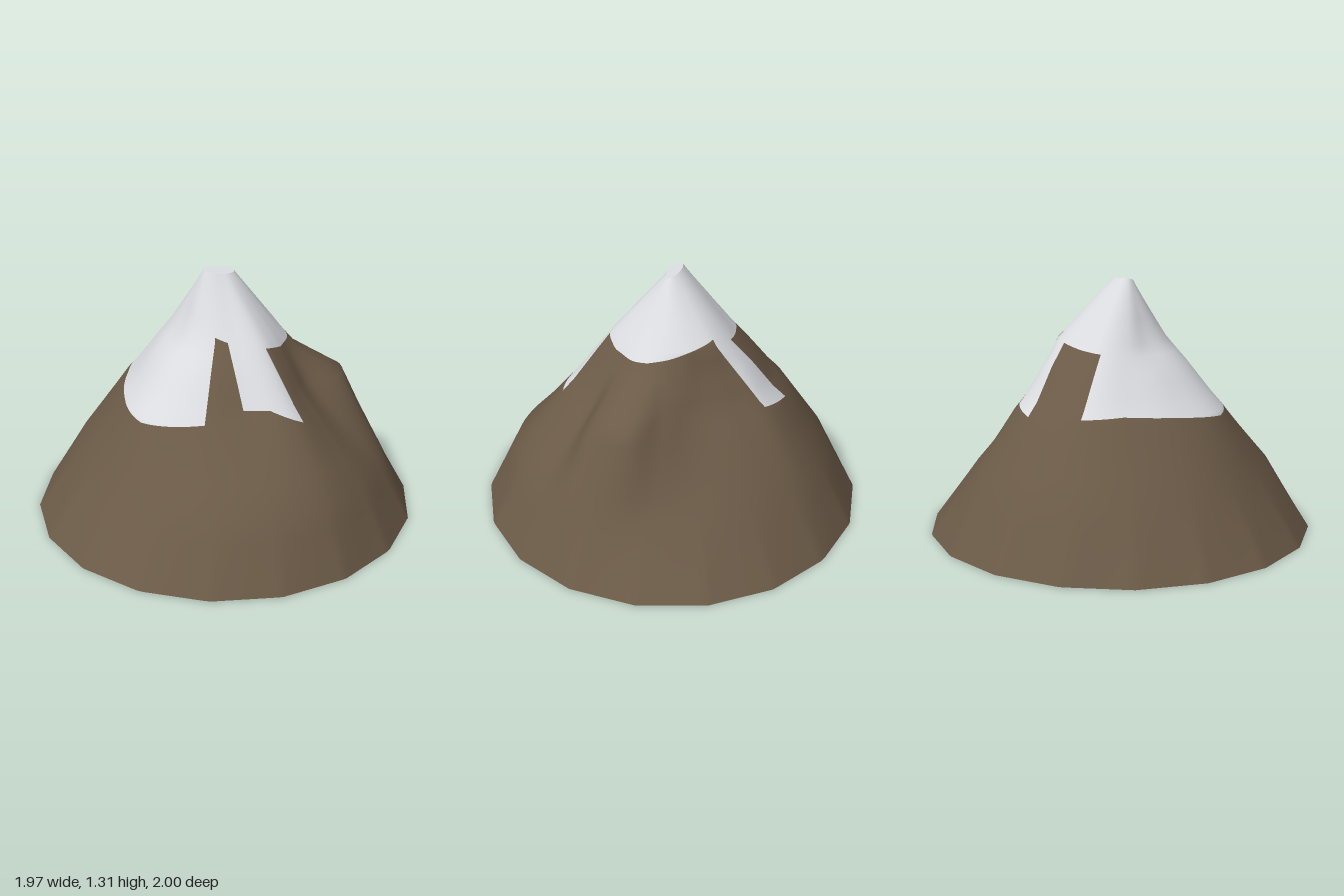
import * as THREE from 'three';
import { mergeVertices } from 'three/addons/utils/BufferGeometryUtils.js';

const HEIGHT = 1.293;
const SUMMIT_TILT = -0.25; // summit drops towards the front
const rad = THREE.MathUtils.degToRad;
const { lerp, clamp } = THREE.MathUtils;

// Slope profiles: compass angle (degrees from the front, towards +x), radius at each height
const HEIGHTS = [0.33, 0.66, 0.72, 0.88, 1.0];
const PROFILES = [
  [2, 0.83, 0.565, 0.51, 0.385, 0.29],
  [20, 0.815, 0.53, 0.475, 0.365, 0.28],
  [36, 0.805, 0.51, 0.46, 0.35, 0.27], // front gully
  [49, 0.83, 0.635, 0.57, 0.36, 0.27], // buttress
  [58, 0.82, 0.655, 0.62, 0.375, 0.27],
  [72, 0.78, 0.65, 0.62, 0.37, 0.275],
  [84, 0.75, 0.56, 0.50, 0.355, 0.285],
  [100, 0.74, 0.475, 0.425, 0.34, 0.295], // back gully
  [116, 0.75, 0.46, 0.415, 0.34, 0.305],
  [134, 0.765, 0.51, 0.46, 0.375, 0.32],
  [150, 0.80, 0.58, 0.525, 0.415, 0.318],
  [180, 0.82, 0.60, 0.535, 0.41, 0.30],
  [200, 0.82, 0.59, 0.535, 0.41, 0.31],
  [225, 0.79, 0.545, 0.49, 0.37, 0.28],
  [250, 0.77, 0.54, 0.485, 0.36, 0.24],
  [278, 0.765, 0.56, 0.50, 0.36, 0.24],
  [313, 0.79, 0.51, 0.46, 0.34, 0.24],
  [337, 0.81, 0.50, 0.445, 0.34, 0.25],
];

// Snow line: angle low down, angle high up, snow height before and after this angle
const SNOW = [
  [-47, -47, 0.67, 1.02],
  [-23, -32, 1.0, 0.72],
  [-8, -14, 0.72, 0.72],
  [7, 4, 0.65, 0.97],
  [28, 28, 0.94, 0.94],
  [50, 50, 0.935, 0.935],
  [68, 68, 0.945, 0.945],
  [90, 88, 0.97, 0.97],
  [112, 107, 1.0, 1.0],
  [149, 134, 1.03, 0.69],
  [167, 155, 0.66, 0.99],
  [180, 180, 0.97, 0.97],
  [197, 201, 0.96, 0.68],
  [218, 218, 0.69, 0.69],
  [248, 248, 0.67, 0.67],
  [278, 278, 0.64, 0.64],
  [313, 313, 0.67, 1.02],
];

// Row heights shared by rock and snow
const LEVELS = [0, 0.11, 0.22, 0.33, 0.44, 0.55, 0.66, 0.72, 0.77, 0.82, 0.88, 0.94, 1, 1.1, 1.2, HEIGHT];

function baseRadius(angle) {
  const a = ((angle % 20) + 20) % 20; // 18-sided foot
  return Math.cos(rad(10)) / Math.cos(rad(a - 10));
}

// Profile by index, wrapping round the mountain
function profile(i) {
  const n = PROFILES.length, turn = Math.floor(i / n);
  const [angle, ...radii] = PROFILES[i - turn * n];
  return { angle: angle + 360 * turn, radii };
}

// Smooth curve through neighbouring profiles
function radiusAt(angle, y) {
  const a = ((angle % 360) + 360) % 360;
  let i = -1;
  while (a > profile(i + 1).angle) i++;
  const [o, p, q, r] = [i - 1, i, i + 1, i + 2].map(profile);
  const w = q.angle - p.angle, t = (a - p.angle) / w;
  const rs = HEIGHTS.map((_, k) => {
    const m0 = w * (q.radii[k] - o.radii[k]) / (q.angle - o.angle);
    const m1 = w * (r.radii[k] - p.radii[k]) / (r.angle - p.angle);
    const d = q.radii[k] - p.radii[k];
    return p.radii[k] + t * (m0 + t * (3 * d - 2 * m0 - m1 + t * (m0 + m1 - 2 * d)));
  });
  const hs = [0, ...HEIGHTS];
  rs.unshift(baseRadius(angle));
  let k = 0;
  while (k < hs.length - 2 && y > hs[k + 1]) k++;
  return lerp(rs[k], rs[k + 1], clamp((y - hs[k]) / (hs[k + 1] - hs[k]), 0, 1));
}

// Small turned oval at the summit
function summitPoint(angle) {
  const a = rad(angle), turn = rad(20);
  const p = 0.08 * Math.sin(a + turn), q = 0.036 * Math.cos(a + turn);
  return [-0.026 + p * Math.cos(turn) - q * Math.sin(turn), -0.013 + p * Math.sin(turn) + q * Math.cos(turn)];
}

function surfacePoint(lo, hi, y) {
  const s = clamp((y - 0.66) / 0.34, 0, 1);
  const angle = lerp(lo, hi, s / (2 - s)); // keeps slanted snow edges straight
  const r = radiusAt(angle, Math.min(y, 1));
  const x = r * Math.sin(rad(angle)), z = r * Math.cos(rad(angle));
  if (y <= 1) return [x, y, z];
  const [tx, tz] = summitPoint(angle), t = (y - 1) / (HEIGHT - 1);
  return [lerp(x, tx, t), y + t * SUMMIT_TILT * tz, lerp(z, tz, t)];
}

// Slope surface whose rows are limited by the snow line
function slopeGeometry(limit) {
  const pos = [];
  for (let k = 0; k < SNOW.length - 1; k++) {
    const a = SNOW[k], b = SNOW[k + 1];
    const n = Math.ceil(Math.max(b[0] - a[0], b[1] - a[1]) / 2);
    const column = (i) => {
      const t = i / n, snow = lerp(a[3], b[2], t);
      return LEVELS.map((y) => surfacePoint(lerp(a[0], b[0], t), lerp(a[1], b[1], t), limit(y, snow)));
    };
    for (let i = 0; i < n; i++) {
      const c = column(i), d = column(i + 1);
      for (let j = 0; j < LEVELS.length - 1; j++) {
        const leftOpen = c[j + 1][1] - c[j][1] > 1e-5, rightOpen = d[j + 1][1] - d[j][1] > 1e-5;
        if (rightOpen) pos.push(...c[j], ...d[j], ...d[j + 1]);
        if (leftOpen) pos.push(...c[j], ...d[j + 1], ...c[j + 1]);
      }
    }
  }
  let g = new THREE.BufferGeometry();
  g.setAttribute('position', new THREE.Float32BufferAttribute(pos, 3));
  g = mergeVertices(g, 1e-4);
  g.computeVertexNormals();
  return g;
}

export function createModel() {
  const rock = new THREE.MeshStandardMaterial({ color: 0x6b5a47 });
  rock.name = 'brownRock';
  const snow = new THREE.MeshStandardMaterial({ color: 0xd9dbdf });
  snow.name = 'whiteSnow';

  const group = new THREE.Group();
  group.name = 'mountain';
  const add = (name, geometry, material) => {
    const mesh = new THREE.Mesh(geometry, material);
    mesh.name = name;
    group.add(mesh);
    return mesh;
  };

  add('rockSlopes', slopeGeometry((y, s) => Math.min(y, s)), rock);
  add('snowCap', slopeGeometry((y, s) => Math.max(y, s)), snow);

  // Flat underside, with corners at the front and back
  const underside = new THREE.CircleGeometry(1, 18, Math.PI / 2);
  underside.rotateX(Math.PI / 2);
  add('underside', underside, rock);

  // Flat summit, tilted to the front
  const outline = [];
  for (let a = 0; a < 360; a += 10) {
    const [x, z] = summitPoint(a);
    outline.push(new THREE.Vector2(x, -z));
  }
  const summit = new THREE.ShapeGeometry(new THREE.Shape(outline));
  summit.rotateX(-Math.PI / 2);
  summit.applyMatrix4(new THREE.Matrix4().makeShear(0, 0, 0, 0, 0, SUMMIT_TILT));
  add('summit', summit, snow).position.y = HEIGHT;

  return group;
}
